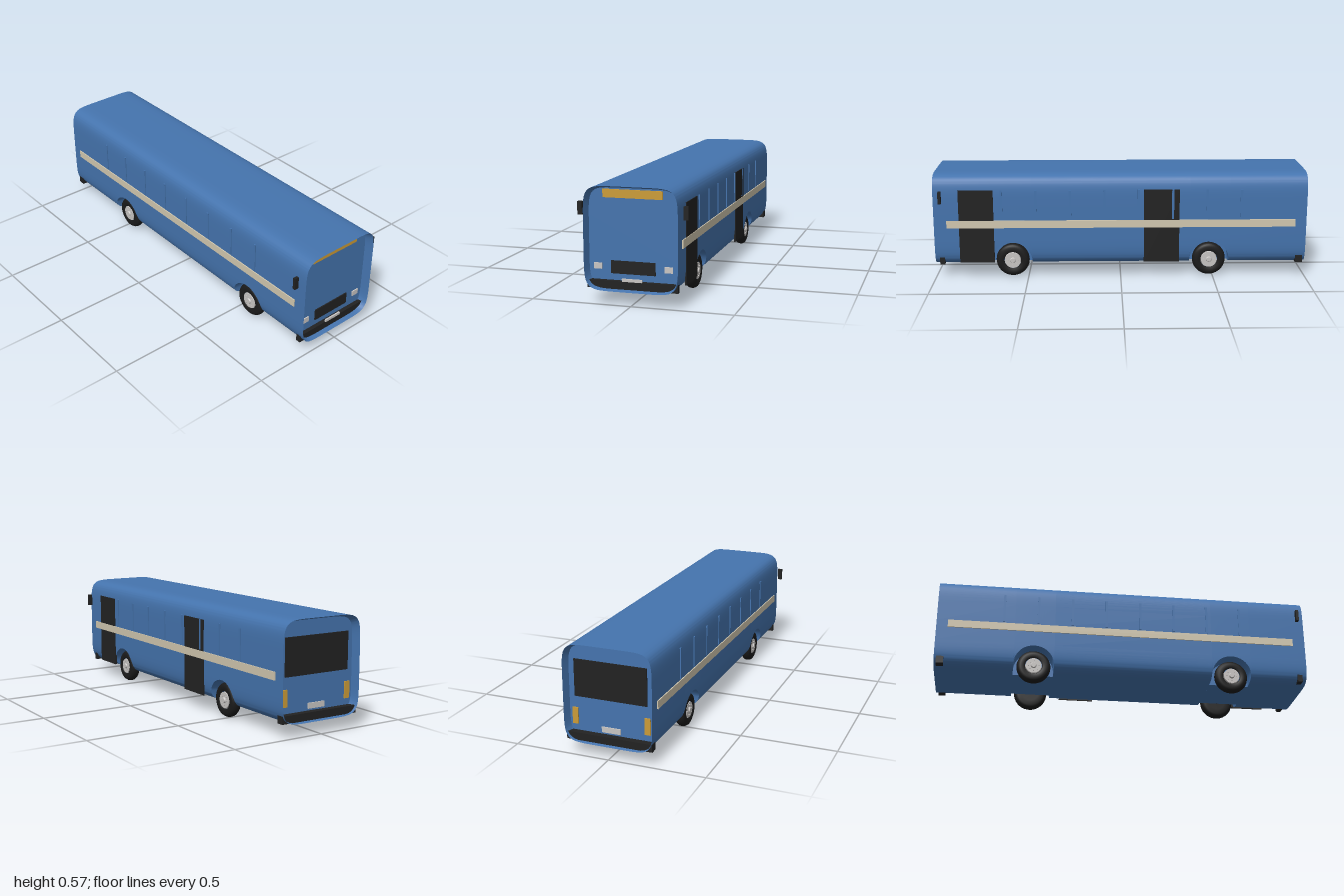
import * as THREE from 'three';
import { toCreasedNormals } from 'three/addons/utils/BufferGeometryUtils.js';

const MID = 0.317, HALF_H = 0.251, HALF_W = 0.232, POWER = 7;
const FACE_X = 0.955;                 // recessed end faces
const AXLES = [-0.48, 0.585];
const ARCH_R = 0.107, AXLE_Y = 0.09, WELL_Z = 0.13;
const N = 24;                         // samples per quarter section

const mat = (name, color) => {
  const m = new THREE.MeshStandardMaterial({ color });
  m.name = name;
  return m;
};

// half width of the hull at height y
const sideZ = (y) => HALF_W * Math.pow(Math.max(0, 1 - Math.pow(Math.abs(y - MID) / HALF_H, POWER)), 1 / POWER);

// half cross-section from bottom centre to top centre; archY cuts a wheel well
function halfSection(archY) {
  const pts = [];
  for (let k = 0; k <= 2 * N; k++) {
    const a = -Math.PI / 2 + (k / (2 * N)) * Math.PI;
    const s = Math.sin(a);
    let z = HALF_W * Math.pow(Math.max(0, Math.cos(a)), 2 / POWER);
    let y = MID + HALF_H * Math.sign(s) * Math.pow(Math.abs(s), 2 / POWER);
    if (k === 0 || k === 2 * N) z = 0;
    if (archY !== null && k > 0 && k < N) {
      if (k === 1) [z, y] = [WELL_Z, MID - HALF_H];
      else if (k === 2) [z, y] = [WELL_Z, archY];
      else {
        y = archY + (MID - archY) * (k - 3) / (N - 3);
        z = sideZ(y);
      }
    }
    pts.push([z, y]);
  }
  return pts;
}

// hull lofted along x, with arches and recessed ends
function bodyGeometry() {
  const stations = [[-FACE_X, 0, null], [-FACE_X, 0.95, null], [-1, 1, null]];
  for (const c of AXLES) {
    stations.push([c - ARCH_R, 1, null]);
    for (let i = 0; i <= 20; i++) {
      const t = (i / 20) * Math.PI;
      stations.push([c - ARCH_R * Math.cos(t), 1, AXLE_Y + ARCH_R * Math.sin(t)]);
    }
    stations.push([c + ARCH_R, 1, null]);
  }
  stations.push([1, 1, null], [FACE_X, 0.95, null], [FACE_X, 0, null]);

  const pos = [], index = [];
  const ring = 4 * N;
  stations.forEach(([x, scale, archY], i) => {
    const half = halfSection(archY);
    const mirrored = half.slice(1, -1).reverse().map(([z, y]) => [-z, y]);
    [...half, ...mirrored].forEach(([z, y], j) => {
      pos.push(x, MID + (y - MID) * scale, z * scale);
      if (i === stations.length - 1) return;
      const a = i * ring + j, d = i * ring + (j + 1) % ring;
      index.push(a, a + ring, d + ring, a, d + ring, d);
    });
  });
  const g = new THREE.BufferGeometry();
  g.setAttribute('position', new THREE.Float32BufferAttribute(pos, 3));
  g.setIndex(index);
  return toCreasedNormals(g, 0.6);
}

export function createModel() {
  const bus = new THREE.Group();
  bus.name = 'bus';
  const blue = mat('bodyBlue', 0x4574ae);
  const cream = mat('stripeCream', 0xd2c8b0);
  const black = mat('trimBlack', 0x222222);
  const rubber = mat('tyreBlack', 0x1b1b1b);
  const metal = mat('lightGrey', 0xc9c6c4);
  const amber = mat('amber', 0xcc9c38);

  const add = (name, geo, material, parent = bus) => {
    const m = new THREE.Mesh(geo, material);
    m.name = name;
    parent.add(m);
    return m;
  };
  // box given by its limits on each axis
  const block = (name, material, [x0, x1], [y0, y1], [z0, z1]) => {
    const m = add(name, new THREE.BoxGeometry(x1 - x0, y1 - y0, z1 - z0), material);
    m.position.set((x0 + x1) / 2, (y0 + y1) / 2, (z0 + z1) / 2);
    return m;
  };

  add('body', bodyGeometry(), blue);

  // side stripes and window pillars
  for (const s of [-1, 1]) {
    const span = (a, b) => (s > 0 ? [a, b] : [-b, -a]);
    block('sideStripe', cream, [-0.94, 0.932], [0.278, 0.319], span(0.229, 0.2375));
    for (let i = 0; i < 8; i++) {
      const x = -0.647 + i * 0.1835;
      block('windowPillar', blue, [x - 0.006, x + 0.006], [0.325, 0.485], span(0.228, 0.2365));
    }
    block('mirror', black, [0.952, 0.967], [0.42, 0.484], span(0.25, 0.273));
    block('headlight', metal, [FACE_X - 0.002, FACE_X + 0.006], [0.163, 0.192], span(0.155, 0.195));
    block('tailLight', amber, [-FACE_X - 0.006, -FACE_X + 0.002], [0.145, 0.23], span(0.175, 0.205));
  }

  // doors on one side only
  for (const [x0, x1] of [[0.68, 0.866], [-0.315, -0.125]]) {
    block('door', black, [x0, x1], [0.085, 0.485], [-0.2345, -0.226]);
  }

  // front end
  const front = [FACE_X - 0.002, FACE_X + 0.006];
  block('destinationSign', amber, front, [0.508, 0.548], [-0.148, 0.148]);
  block('grille', black, front, [0.145, 0.207], [-0.11, 0.11]);
  block('frontBumper', black, [FACE_X - 0.005, 0.976], [0.073, 0.112], [-0.225, 0.225]);
  block('frontPlate', metal, [0.972, 0.98], [0.112, 0.126], [-0.05, 0.05]);

  // rear end
  const rear = [-FACE_X - 0.006, -FACE_X + 0.002];
  block('rearWindow', black, rear, [0.29, 0.48], [-0.19, 0.19]);
  block('rearBumper', black, [-0.988, -FACE_X + 0.005], [0.073, 0.112], [-0.225, 0.225]);
  block('rearPlate', metal, rear, [0.122, 0.15], [-0.05, 0.05]);

  // wheels: lathed tyre, rim, hub and bolts, outer side facing +z
  const tyreProfile = [[0.045, -0.027], [0.07, -0.027], [0.081, -0.022], [0.088, -0.012], [0.09, 0],
    [0.088, 0.012], [0.081, 0.022], [0.07, 0.027], [0.05, 0.027], [0.045, 0.02]];
  const tyreGeo = new THREE.LatheGeometry(tyreProfile.map((p) => new THREE.Vector2(...p)), 40).rotateX(Math.PI / 2);
  const disc = (r0, r1, depth, z, sides = 32) =>
    new THREE.CylinderGeometry(r0, r1, depth, sides).rotateX(Math.PI / 2).translate(0, 0, z);
  for (const x of AXLES) {
    for (const s of [-1, 1]) {
      const wheel = new THREE.Group();
      wheel.name = 'wheel';
      wheel.position.set(x, AXLE_Y, s * 0.188);
      if (s < 0) wheel.rotation.y = Math.PI;
      bus.add(wheel);
      add('tyre', tyreGeo, rubber, wheel);
      add('rim', disc(0.042, 0.046, 0.045, 0.003), metal, wheel);
      add('hub', disc(0.012, 0.016, 0.008, 0.029, 20), metal, wheel);
      add('innerDisc', disc(0.046, 0.046, 0.004, -0.024), rubber, wheel);
      for (let i = 0; i < 8; i++) {
        const a = (i / 8) * Math.PI * 2;
        const bolt = add('bolt', disc(0.003, 0.003, 0.004, 0.027, 8), metal, wheel);
        bolt.position.set(0.027 * Math.cos(a), 0.027 * Math.sin(a), 0);
      }
    }
    const axle = add('axle', disc(0.012, 0.012, 0.34, 0, 12), rubber);
    axle.position.set(x, AXLE_Y, 0);
  }
  return bus;
}
